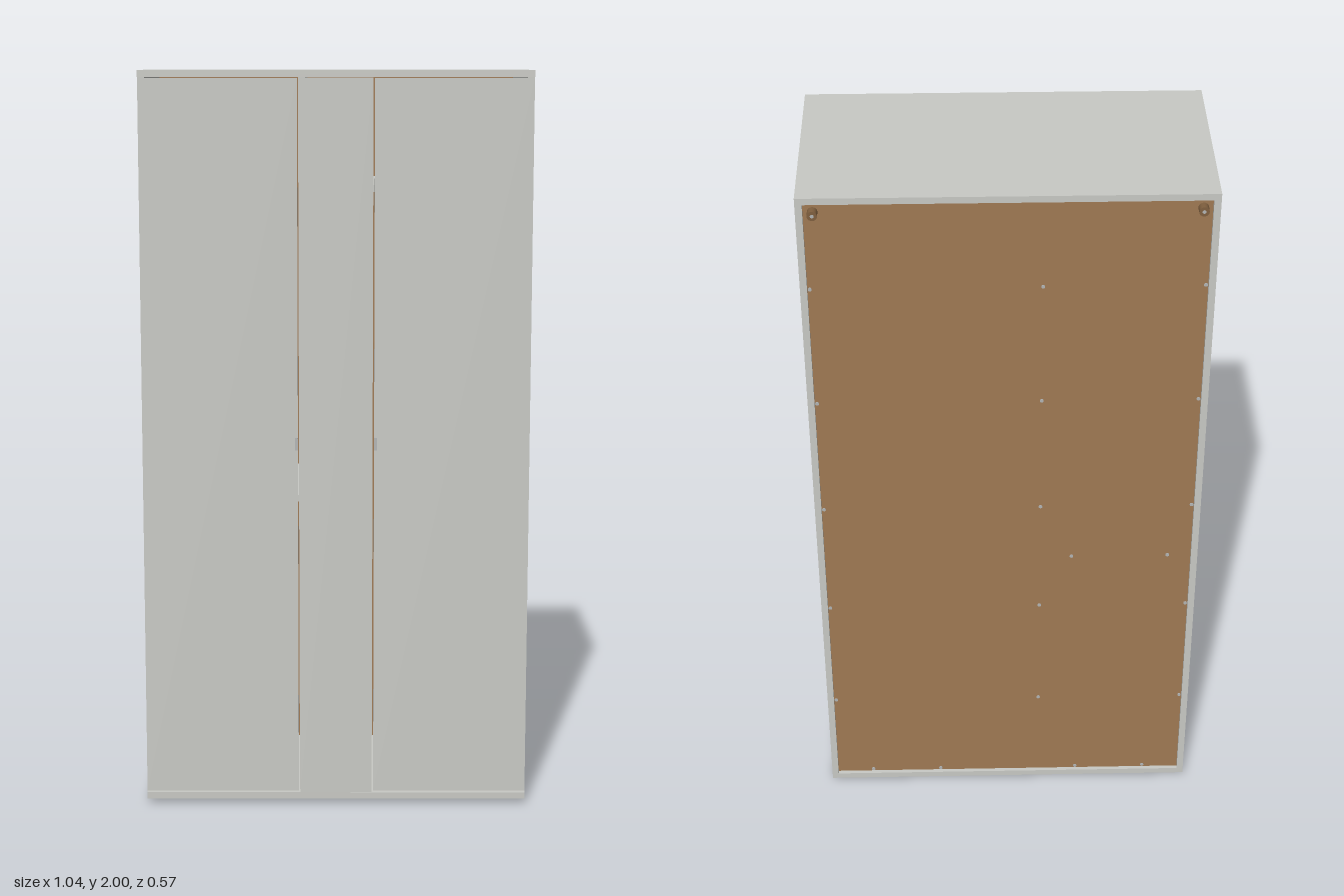
import * as THREE from 'three';

const paint = new THREE.MeshStandardMaterial({ name: 'warm grey laminate', color: 0xc9cac5 });
const board = new THREE.MeshStandardMaterial({ name: 'brown hardboard', color: 0xa07a54 });
const metal = new THREE.MeshStandardMaterial({ name: 'steel', color: 0xb4b6b6 });
const mount = new THREE.MeshStandardMaterial({ name: 'dark brown plastic', color: 0x80603f });
const footGrey = new THREE.MeshStandardMaterial({ name: 'foot grey', color: 0xa5a6a2 });

export function createModel() {
  const model = new THREE.Group();
  model.name = 'wardrobe';

  // Box given by its low and high limits on each axis
  const box = (name, mat, [x0, x1], [y0, y1], [z0, z1]) => {
    const mesh = new THREE.Mesh(new THREE.BoxGeometry(x1 - x0, y1 - y0, z1 - z0), mat);
    mesh.position.set((x0 + x1) / 2, (y0 + y1) / 2, (z0 + z1) / 2);
    mesh.name = name;
    model.add(mesh);
  };
  // Short cylinder lying along z
  const disc = (name, mat, r, depth, x, y, z) => {
    const mesh = new THREE.Mesh(new THREE.CylinderGeometry(r, r, depth, 20).rotateX(Math.PI / 2), mat);
    mesh.position.set(x, y, z);
    mesh.name = name;
    model.add(mesh);
  };

  const W = 0.522, T = 0.018, back = -0.273, front = 0.266;

  // Carcass
  box('topPanel', paint, [-W, W], [1.982, 2], [back, front]);
  box('bottomPanel', paint, [-W, W], [0.011, 0.029], [back, front]);
  for (const s of [-1, 1]) {
    const x = s * (W - T / 2);
    box('sidePanel', paint, [x - T / 2, x + T / 2], [0.029, 1.982], [back, 0.246]);
  }
  box('backPanel', board, [-W + T, W - T], [0.029, 1.982], [-0.262, -0.256]);

  // Interior partition and shelves
  box('partition', paint, [-0.1, -0.082], [0.029, 1.982], [-0.256, 0.24]);
  box('leftInnerShelf', paint, [-W + T, -0.1], [0.84, 0.858], [-0.256, 0.22]);
  box('upperShelf', paint, [-0.082, W - T], [1.68, 1.698], [-0.256, 0.22]);

  // Two doors with a narrow panel between them
  const y0 = 0.034, y1 = 1.979;
  box('rightDoor', paint, [-W + 0.001, -0.1025], [y0, y1], [0.25, front]);
  box('leftDoor', paint, [0.1025, W - 0.001], [y0, y1], [0.25, front]);
  box('centrePanel', paint, [-0.0985, 0.0985], [0.03, 1.981], [0.25, front - 0.001]);

  // Edge pulls: a thin plate over the door edge with a small lip
  for (const s of [-1, 1]) {
    const x = s * 0.104;
    box('handlePlate', metal, [x - 0.0015, x + 0.0015], [0.992, 1.026], [0.255, 0.284]);
    const lip = x + s * 0.003;
    box('handleLip', metal, [lip - 0.003, lip + 0.003], [0.992, 1.026], [0.281, 0.284]);
  }

  // Feet
  for (const x of [-0.475, -0.09, 0.475]) {
    for (const z of [-0.232, 0.205]) {
      box('foot', footGrey, [x - 0.02, x + 0.02], [0, 0.011], [z - 0.022, z + 0.022]);
    }
  }

  // Wall spacers at the upper back corners
  for (const s of [-1, 1]) {
    disc('wallSpacer', mount, 0.013, 0.023, s * 0.48, 1.957, -0.2735);
    disc('spacerScrew', metal, 0.005, 0.002, s * 0.48, 1.957, -0.2842);
  }

  // Screw heads in the back panel
  const screws = [[-0.175, 0.85], [-0.44, 0.85]];
  for (let i = 0; i < 5; i++) {
    const y = 0.32 + i * 0.353;
    screws.push([-0.088, y], [-0.498, y], [0.498, y]);
  }
  for (const x of [-0.4, -0.2, 0.2, 0.4]) screws.push([x, 0.037]);
  for (const [x, y] of screws) disc('backScrew', metal, 0.005, 0.003, x, y, -0.263);

  return model;
}
